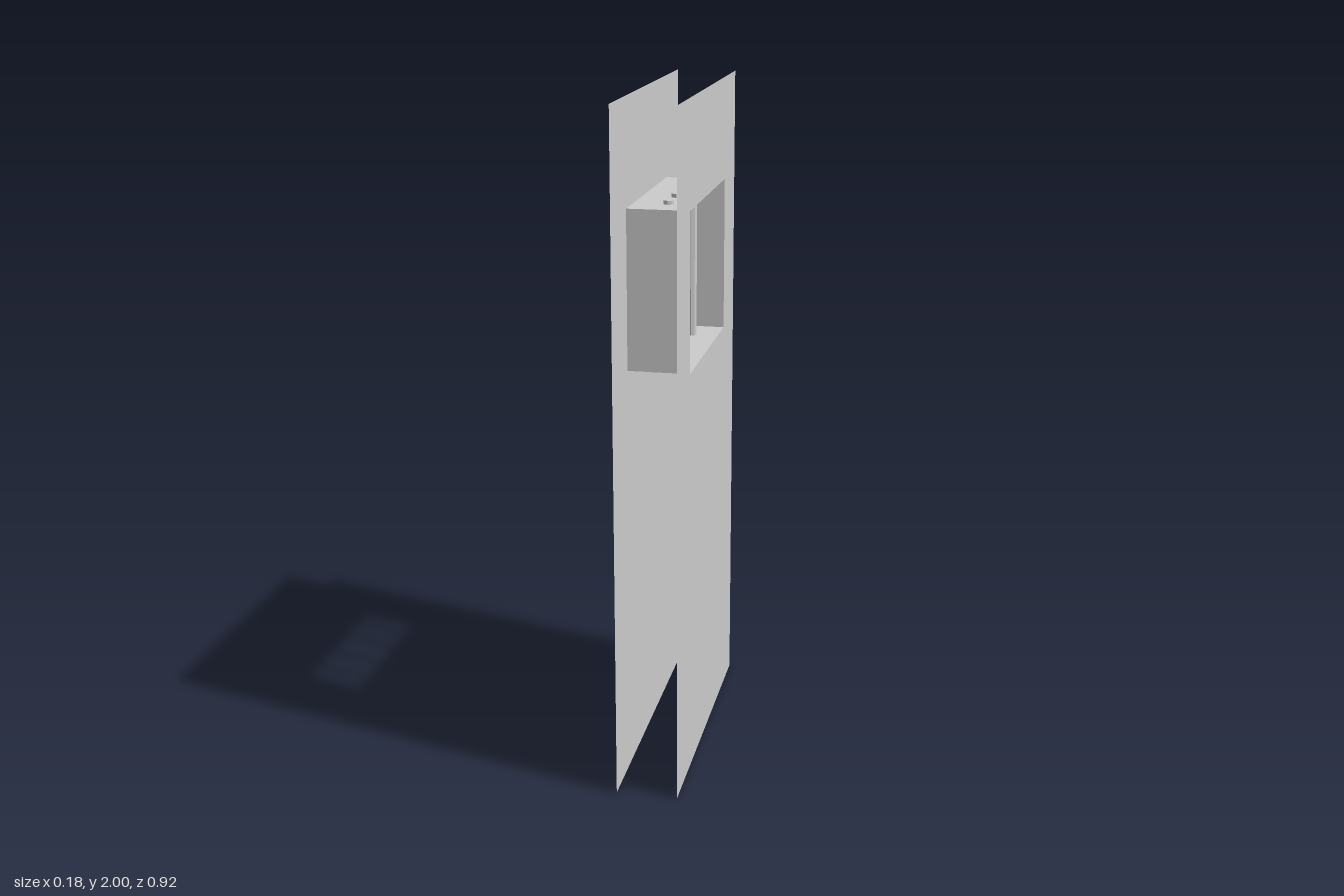
import * as THREE from 'three';

const HALF_GAP = 0.09;                       // door faces sit at x = +-HALF_GAP
const HALF_WIDTH = 0.46, HEIGHT = 2;
const WIN = { z0: -0.283, z1: 0.271, y0: 1.232, y1: 1.694 };

export function createModel() {
  const group = new THREE.Group();
  const sheet = new THREE.MeshStandardMaterial({ color: 0xcccccc, side: THREE.DoubleSide });
  const metal = new THREE.MeshStandardMaterial({ color: 0xcccccc, flatShading: true });

  const add = (name, geometry, material, x, y, z) => {
    const mesh = new THREE.Mesh(geometry, material);
    mesh.name = name;
    mesh.position.set(x, y, z);
    group.add(mesh);
  };

  // Door faces: thin sheets with a window opening (shape x runs along -z)
  const face = new THREE.Shape();
  face.moveTo(-HALF_WIDTH, 0).lineTo(HALF_WIDTH, 0).lineTo(HALF_WIDTH, HEIGHT).lineTo(-HALF_WIDTH, HEIGHT).closePath();
  const hole = new THREE.Path();
  hole.moveTo(-WIN.z1, WIN.y0).lineTo(-WIN.z1, WIN.y1).lineTo(-WIN.z0, WIN.y1).lineTo(-WIN.z0, WIN.y0).closePath();
  face.holes.push(hole);
  const rightFace = new THREE.ShapeGeometry(face).rotateY(Math.PI / 2);
  const leftFace = rightFace.clone().scale(1, 1, 1);
  // Turn the opposite sheet to face outward while keeping the opening aligned
  const index = leftFace.index.array;
  for (let i = 0; i < index.length; i += 3) [index[i], index[i + 1]] = [index[i + 1], index[i]];
  leftFace.computeVertexNormals();
  add('doorFaceLeft', rightFace, sheet, HALF_GAP, 0, 0);
  add('doorFaceRight', leftFace, sheet, -HALF_GAP, 0, 0);

  // Window lining: four sheets joining the two openings
  const depth = HALF_GAP * 2, width = WIN.z1 - WIN.z0, height = WIN.y1 - WIN.y0;
  const midZ = (WIN.z0 + WIN.z1) / 2, midY = (WIN.y0 + WIN.y1) / 2;
  const sill = new THREE.PlaneGeometry(depth, width).rotateX(-Math.PI / 2);
  const head = new THREE.PlaneGeometry(depth, width).rotateX(Math.PI / 2);
  const jamb = new THREE.PlaneGeometry(depth, height);
  add('windowSill', sill, sheet, 0, WIN.y0, midZ);
  add('windowHead', head, sheet, 0, WIN.y1, midZ);
  add('windowJambBack', jamb, sheet, 0, midY, WIN.z0);
  add('windowJambFront', jamb.clone().rotateY(Math.PI), sheet, 0, midY, WIN.z1);

  // Vertical bars, slightly longer than the opening is tall
  const bar = new THREE.CylinderGeometry(0.015, 0.015, height + 0.022, 8);
  [0.175, 0.059, -0.067, -0.175].forEach((z, i) => add(`windowBar${i + 1}`, bar, metal, 0.01, midY, z));

  return group;
}
